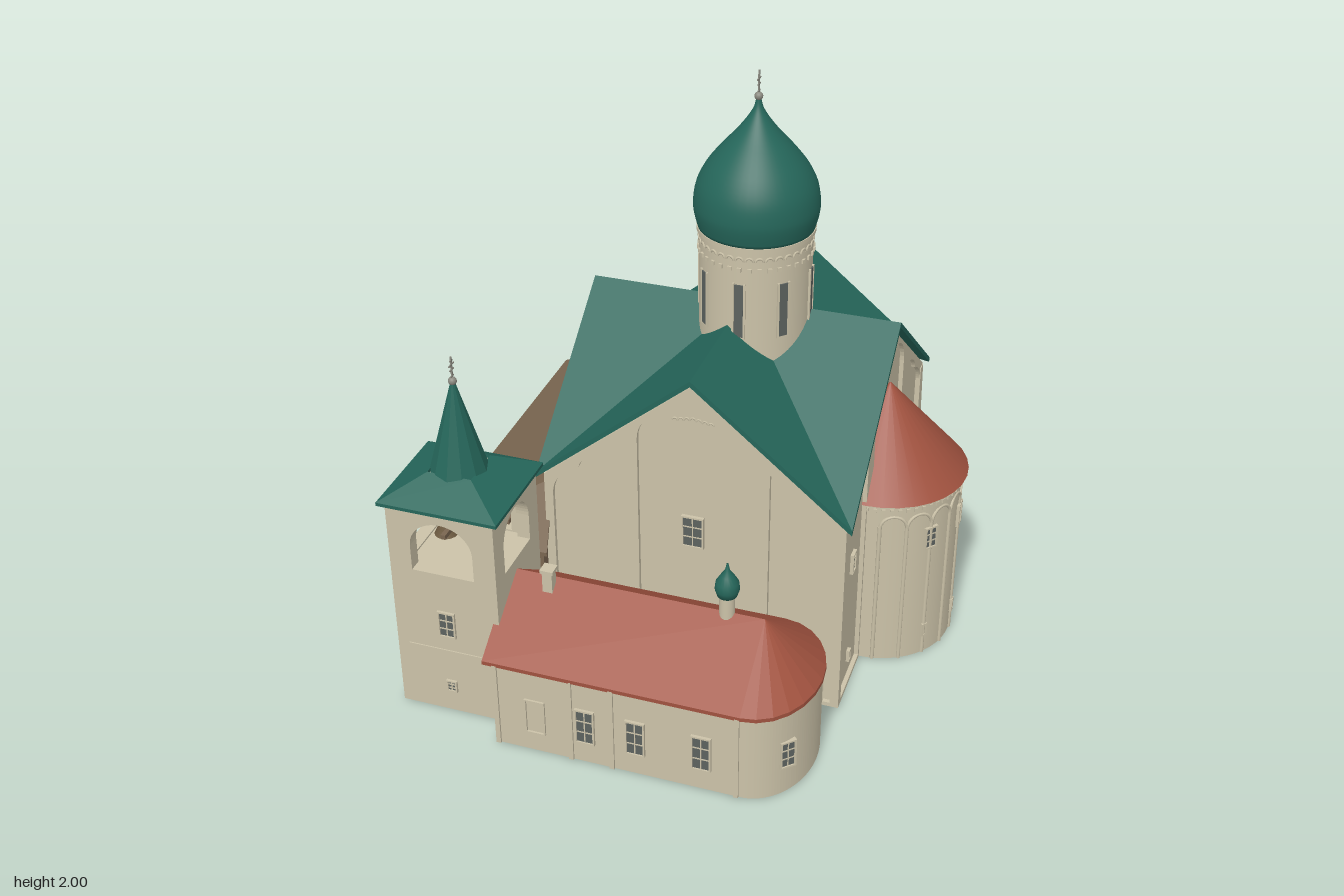
import * as THREE from 'three';

const mat = (name, color, side = THREE.FrontSide) => {
  const m = new THREE.MeshStandardMaterial({ color, side });
  m.name = name;
  return m;
};
const plaster = mat('plaster', 0xcbc2a8);
const green = mat('greenRoof', 0x25665a, THREE.DoubleSide);
const red = mat('redRoof', 0xa0523f, THREE.DoubleSide);
const wood = mat('wood', 0x7a6650, THREE.DoubleSide);
const glass = mat('windowGlass', 0x5c625f);
const metal = mat('metal', 0x8b8a80);
const bronze = mat('bronze', 0x6f5c42, THREE.DoubleSide);
const door = mat('doorWood', 0x6a4936);
const D = Math.PI / 180;

function add(parent, name, geo, m, x = 0, y = 0, z = 0, ry = 0) {
  const mesh = new THREE.Mesh(geo, m);
  mesh.name = name;
  mesh.position.set(x, y, z);
  mesh.rotation.y = ry;
  parent.add(mesh);
  return mesh;
}
function group(parent, name, x = 0, y = 0, z = 0, ry = 0) {
  const g = new THREE.Group();
  g.name = name;
  g.position.set(x, y, z);
  g.rotation.y = ry;
  parent.add(g);
  return g;
}
const box = (p, name, m, w, h, d, x, y, z) => add(p, name, new THREE.BoxGeometry(w, h, d), m, x, y, z);
const cyl = (p, name, m, rt, rb, h, n, x, y, z) => add(p, name, new THREE.CylinderGeometry(rt, rb, h, n), m, x, y, z);
const lathe = (pts, n) => new THREE.LatheGeometry(pts.map(q => new THREE.Vector2(...q)), n);
const shapeOf = pts => new THREE.Shape(pts.map(q => new THREE.Vector2(...q)));
const extrude = (shape, depth, curveSegments = 12) =>
  new THREE.ExtrudeGeometry(shape, { depth, bevelEnabled: false, curveSegments });

// Sloping roof panel: convex outline in x, y, z thickened downwards
function slab(parent, name, m, outline, t = 0.014) {
  let area = 0;
  outline.forEach((a, i) => {
    const b = outline[(i + 1) % outline.length];
    area += a[2] * b[0] - a[0] * b[2];
  });
  const top = area > 0 ? outline : [...outline].reverse();
  const low = top.map(([x, y, z]) => [x, y - t, z]);
  const v = [];
  top.forEach((a, i) => {
    const j = (i + 1) % top.length;
    if (i > 0 && j > 0) v.push(...top[0], ...a, ...top[j], ...low[0], ...low[j], ...low[i]);
    v.push(...a, ...low[i], ...low[j], ...a, ...low[j], ...top[j]);
  });
  const g = new THREE.BufferGeometry();
  g.setAttribute('position', new THREE.Float32BufferAttribute(v, 3));
  g.computeVertexNormals();
  return add(parent, name, g, m);
}
// Repeats a part around a vertical axis, facing outwards
function ring(parent, name, m, geo, [cx, y, cz], r, n, start, step) {
  const g = group(parent, name, cx, y, cz);
  for (let i = 0; i < n; i++) {
    const a = start + i * step;
    add(g, name + 'Piece', geo, m, r * Math.sin(a), 0, r * Math.cos(a), a);
  }
}
// Glazed window with frame and glazing bars
function win(parent, x, y, z, w, h, ry = 0, bars = true) {
  const g = group(parent, 'window', x, y, z, ry), f = 0.006;
  box(g, 'pane', glass, w, h, 0.008, 0, 0, 0);
  for (const s of [-1, 1]) {
    box(g, 'jamb', plaster, f, h + f, 0.018, s * w / 2, 0, 0);
    box(g, 'sill', plaster, w + f, f, 0.018, 0, s * h / 2, 0);
    if (bars) box(g, 'glazingBar', plaster, w, 0.004, 0.012, 0, s * h / 6, 0);
  }
  if (bars) box(g, 'mullion', plaster, 0.004, h, 0.012, 0, 0, 0);
}
function cross(parent, x, y, z) {
  const g = group(parent, 'roofCross', x, y, z);
  add(g, 'ball', new THREE.SphereGeometry(0.014, 16, 12), metal, 0, 0, 0);
  box(g, 'stem', metal, 0.005, 0.084, 0.005, 0, 0.044, 0);
  [[0.018, 0.02], [0.04, 0.026], [0.058, 0.036], [0.072, 0.018]].forEach(([h, w]) =>
    box(g, 'crossBar', metal, 0.004, 0.004, w, 0, h, 0));
}

// Raised gable layer with three arched recesses
function facade(parent, name, x, z, ry, half) {
  const g = group(parent, name, x, 0, z, ry), k = half / 0.515;
  const s = shapeOf([[-half, 0], [half, 0], [half, 0.727], [0, 1.155], [-half, 0.727]]);
  const c = new THREE.Path();
  c.moveTo(-0.185 * k, 0.015).lineTo(0.185 * k, 0.015).lineTo(0.185 * k, 0.93);
  c.absellipse(0, 0.93, 0.185 * k, 0.14, 0, Math.PI, false, 0);
  s.holes.push(c);
  for (const m of [-k, k]) {
    const p = new THREE.Path();
    p.moveTo(0.26 * m, 0.015).lineTo(0.485 * m, 0.015).lineTo(0.485 * m, 0.66);
    p.quadraticCurveTo(0.48 * m, 0.74, 0.39 * m, 0.78).quadraticCurveTo(0.375 * m, 0.84, 0.26 * m, 0.88);
    s.holes.push(p);
  }
  add(g, 'archedLayer', extrude(s, 0.016), plaster);
  for (let i = -3; i <= 3; i++)
    add(g, 'archletTrim', new THREE.TorusGeometry(0.009, 0.003, 5, 8, Math.PI), plaster, i * 0.02, 1.025 - Math.abs(i) * 0.003, 0.001);
  return g;
}

function mainChurch(root) {
  const g = group(root, 'mainChurch'), cx = 0.085, cz = -0.2175, hx = 0.515, hz = 0.5575;
  // Crossing gabled cores
  for (const [w, d, ry] of [[hx - 0.015, hz - 0.015, 0], [hz - 0.015, hx - 0.015, Math.PI / 2]]) {
    const core = extrude(shapeOf([[-w, 0], [w, 0], [w, 0.727], [0, 1.15], [-w, 0.727]]), 2 * d);
    core.translate(0, 0, -d);
    add(g, 'wallCore', core, plaster, cx, 0, cz, ry);
  }
  const front = facade(g, 'frontFacade', cx, cz + hz - 0.016, 0, hx);
  const back = facade(g, 'backFacade', cx, cz - hz + 0.016, Math.PI, hx);
  const east = facade(g, 'leftFacade', cx + hx - 0.016, cz, Math.PI / 2, hz);
  facade(g, 'rightFacade', cx - hx + 0.016, cz, -Math.PI / 2, hz);
  win(front, 0, 0.6, 0.004, 0.07, 0.115);
  win(back, 0, 0.6, 0.004, 0.07, 0.115);
  for (const s of [-1, 1]) {
    win(east, s * 0.395, 0.49, 0.004, 0.035, 0.07);
    win(east, s * 0.395, 0.1, 0.004, 0.015, 0.04, 0, false);
  }
  // Eight roof panels meeting in diagonal valleys
  for (const sx of [-1, 1]) for (const sz of [-1, 1]) {
    const C = [cx, 1.185, -0.22], K = [cx + sx * 0.536, 0.74, -0.22 + sz * 0.577];
    slab(g, 'mainRoofPanel', green, [C, [K[0], 1.185, -0.22], K], 0.02);
    slab(g, 'mainRoofPanel', green, [C, [cx, 1.185, K[2]], K], 0.02);
  }
  // Sloping corner buttress
  add(g, 'buttress', extrude(shapeOf([[0.74, 0], [0.845, 0], [0.777, 0.72], [0.74, 0.72]]), 0.055), plaster, 0.548, 0, 0, Math.PI / 2);

  // Drum and onion dome
  const dx = 0.125, dz = -0.21, R = 0.188;
  cyl(g, 'drum', plaster, R, R, 0.54, 48, dx, 1.21, dz);
  cyl(g, 'drumCornice', plaster, R + 0.008, R + 0.008, 0.014, 48, dx, 1.468, dz);
  ring(g, 'drumWindow', glass, new THREE.BoxGeometry(0.03, 0.19, 0.008), [dx, 1.245, dz], R, 8, 0, 45 * D);
  for (const s of [-1, 1])
    ring(g, 'drumWindowJamb', plaster, new THREE.BoxGeometry(0.007, 0.2, 0.014), [dx, 1.245, dz], R, 8, s * 0.1, 45 * D);
  ring(g, 'drumArchlet', plaster, new THREE.TorusGeometry(0.013, 0.004, 5, 8, Math.PI), [dx, 1.425, dz], R, 36, 0, 10 * D);
  ring(g, 'drumDentil', plaster, new THREE.BoxGeometry(0.014, 0.014, 0.012), [dx, 1.395, dz], R, 36, 0, 10 * D);
  const onion = new THREE.SplineCurve([[0.193, 1.475], [0.204, 1.52], [0.207, 1.56], [0.197, 1.62], [0.168, 1.68],
    [0.122, 1.74], [0.073, 1.795], [0.035, 1.845], [0.015, 1.88], [0.008, 1.91]].map(q => new THREE.Vector2(...q)));
  add(g, 'onionDome', new THREE.LatheGeometry([new THREE.Vector2(0, 1.475), ...onion.getPoints(30)], 48), green, dx, 0, dz);
  cross(g, dx, 1.915, dz);

  // Round apse with slim columns and blind arches
  const ax = 0.6, az = -0.21, r = 0.262;
  cyl(g, 'apseWall', plaster, r, r, 0.65, 48, ax, 0.325, az);
  cyl(g, 'apseCornice', plaster, r + 0.009, r + 0.009, 0.015, 48, ax, 0.64, az);
  cyl(g, 'apseRoof', red, 0.002, 0.282, 0.315, 32, ax, 0.803, az);
  ring(g, 'apseColumn', plaster, new THREE.CylinderGeometry(0.007, 0.007, 0.555, 8), [ax, 0.278, az], r, 9, 10 * D, 20 * D);
  ring(g, 'apseArch', plaster, new THREE.TorusGeometry(0.045, 0.006, 6, 12, Math.PI), [ax, 0.55, az], r - 0.002, 8, 20 * D, 20 * D);
  ring(g, 'apseDentil', plaster, new THREE.BoxGeometry(0.012, 0.014, 0.012), [ax, 0.62, az], r, 31, 0, 6 * D);
  for (const a of [50, 90, 130]) {
    const s = Math.sin(a * D), c = Math.cos(a * D);
    win(g, ax + r * s, 0.49, az + r * c, 0.045, 0.08, a * D);
    win(g, ax + r * s, 0.1, az + r * c, 0.016, 0.045, a * D, false);
  }
}

function chapel(root) {
  const g = group(root, 'sideChapel'), z0 = 0.595, ex = 0.41;
  const plan = new THREE.Shape();
  plan.moveTo(-0.42, -0.25).lineTo(ex, -0.25);
  plan.absellipse(ex, 0, 0.185, 0.25, -Math.PI / 2, Math.PI / 2, false, 0);
  plan.lineTo(-0.42, 0.25);
  const walls = extrude(plan, 0.33, 32);
  walls.rotateX(-Math.PI / 2);
  add(g, 'chapelWalls', walls, plaster, 0, 0, z0);
  add(g, 'chapelGable', extrude(shapeOf([[-0.245, 0.31], [0.245, 0.31], [0, 0.495]]), 0.82), plaster, -0.42, 0, z0, Math.PI / 2);
  for (const s of [-1, 1])
    slab(g, 'chapelRoof', red, [[-0.45, 0.515, z0 - 0.005], [ex, 0.515, z0 - 0.005], [ex, 0.33, z0 + s * 0.257], [-0.45, 0.33, z0 + s * 0.257]]);
  const rim = i => [ex + 0.195 * Math.sin(i * 15 * D), 0.33, z0 + 0.257 * Math.cos(i * 15 * D)];
  for (let i = 0; i < 12; i++) slab(g, 'chapelRoundRoof', red, [[ex, 0.515, z0 - 0.005], rim(i), rim(i + 1)]);
  for (const x of [-0.105, 0.065, 0.285]) win(g, x, 0.148, 0.846, 0.06, 0.13);
  for (const s of [-1, 1]) win(g, ex + 0.133, 0.155, z0 + s * 0.174, 0.05, 0.1, s > 0 ? 44 * D : 136 * D);
  for (const s of [-1, 1]) {
    box(g, 'nicheJamb', plaster, 0.006, 0.135, 0.012, -0.277 + s * 0.032, 0.14, 0.846);
    box(g, 'nicheRail', plaster, 0.064, 0.006, 0.012, -0.277, 0.14 + s * 0.065, 0.846);
  }
  for (const x of [-0.41, -0.155, -0.015, 0.4]) box(g, 'chapelPilaster', plaster, 0.016, 0.32, 0.012, x, 0.16, 0.846);
  // Chimney and small cupola
  box(g, 'chimney', plaster, 0.034, 0.1, 0.034, -0.305, 0.515, 0.62);
  box(g, 'chimneyCap', plaster, 0.045, 0.012, 0.045, -0.305, 0.562, 0.62);
  cyl(g, 'cupolaDrum', plaster, 0.025, 0.025, 0.1, 20, 0.285, 0.535, 0.588);
  add(g, 'cupola', lathe([[0, 0.58], [0.032, 0.58], [0.04, 0.605], [0.037, 0.63], [0.022, 0.655], [0.008, 0.675], [0.003, 0.7]], 20), green, 0.285, 0, 0.588);
}

function bellTower(root) {
  const g = group(root, 'bellTower', -0.615, 0, 0.5775), hx = 0.185, hz = 0.1725;
  box(g, 'towerBase', plaster, 2 * hx, 0.55, 2 * hz, 0, 0.275, 0);
  // Belfry walls with open arches
  for (let i = 0; i < 4; i++) {
    const [h, d] = i % 2 ? [hz, hx] : [hx, hz], a = h * 0.585, ry = i * Math.PI / 2;
    const s = shapeOf([[-h, 0.54], [h, 0.54], [h, 0.8], [-h, 0.8]]), p = new THREE.Path();
    p.moveTo(-a, 0.556).lineTo(a, 0.556).lineTo(a, 0.65).absellipse(0, 0.65, a, 0.1, 0, Math.PI, false, 0);
    s.holes.push(p);
    add(g, 'belfryWall', extrude(s, 0.045), plaster, (d - 0.045) * Math.sin(ry), 0, (d - 0.045) * Math.cos(ry), ry);
  }
  box(g, 'belfryCeiling', plaster, 2 * hx + 0.012, 0.015, 2 * hz + 0.012, 0, 0.793, 0);
  // Bells hanging from cross beams
  box(g, 'bellBeam', wood, 0.33, 0.016, 0.016, 0, 0.69, 0);
  box(g, 'bellBeam', wood, 0.016, 0.016, 0.3, 0, 0.69, 0);
  [[-0.065, 1.25], [0.005, 0.85], [0.05, 0.6], [0.085, 0.5]].forEach(([x, k]) => {
    const bell = add(g, 'bell', lathe([[0.032, -0.075], [0.022, -0.055], [0.017, -0.025], [0.01, -0.012], [0, -0.01]], 16), bronze, x, 0.688, 0);
    bell.scale.setScalar(k);
  });
  // Flared square eaves and spire
  const K = [[1, 1], [1, -1], [-1, -1], [-1, 1]];
  K.forEach(([x, z], i) => {
    const [u, v] = K[(i + 1) % 4];
    slab(g, 'towerEaves', green, [[x * 0.206, 0.805, z * 0.19], [u * 0.206, 0.805, v * 0.19], [u * 0.075, 0.877, v * 0.075], [x * 0.075, 0.877, z * 0.075]], 0.012);
  });
  const spire = new THREE.CylinderGeometry(0.008, 0.095, 0.31, 12).toNonIndexed();
  spire.computeVertexNormals();
  add(g, 'spire', spire, green, 0, 1.02, 0);
  cross(g, 0, 1.182, 0);
  // Tower openings
  win(g, 0, 0.36, hz, 0.055, 0.095);
  win(g, 0, 0.105, hz, 0.032, 0.04);
  win(g, -hx, 0.36, 0, 0.055, 0.095, -Math.PI / 2);
  const arch = new THREE.Shape();
  arch.moveTo(-0.04, 0.01).lineTo(0.04, 0.01).lineTo(0.04, 0.13).absarc(0, 0.13, 0.04, 0, Math.PI, false);
  add(g, 'towerDoor', extrude(arch, 0.006), door, -hx, 0, 0, -Math.PI / 2);
  box(g, 'stringCourse', plaster, 0.29, 0.006, 0.008, 0, 0.25, hz);
}

function woodenAnnex(root) {
  const g = group(root, 'woodenAnnex');
  box(g, 'annexWalls', wood, 0.37, 0.45, 1.175, -0.615, 0.225, -0.2125);
  const a = [-0.835, 0.445, -0.83], b = [-0.835, 0.445, 0.395], c = [-0.43, 0.665, 0.27], d = [-0.43, 0.665, -0.7];
  slab(g, 'annexRoof', wood, [a, b, c, d]);
  slab(g, 'annexRoofEnd', wood, [b, [-0.41, 0.445, 0.395], c]);
  slab(g, 'annexRoofEnd', wood, [a, [-0.41, 0.445, -0.83], d]);
  for (const z of [-0.62, -0.31, 0.02]) win(g, -0.801, 0.36, z, 0.05, 0.06, -Math.PI / 2);
  box(g, 'annexDoor', glass, 0.008, 0.14, 0.06, -0.801, 0.085, -0.31);
  // Porch on two posts
  box(g, 'porchStep', plaster, 0.085, 0.012, 0.17, -0.843, 0.006, 0.25);
  box(g, 'porchDoor', door, 0.008, 0.16, 0.07, -0.801, 0.09, 0.25);
  for (const s of [-1, 1]) {
    box(g, 'porchPost', wood, 0.012, 0.2, 0.012, -0.845, 0.105, 0.25 + s * 0.065);
    slab(g, 'porchRoof', wood, [[-0.885, 0.265, 0.25], [-0.79, 0.265, 0.25], [-0.79, 0.212, 0.25 + s * 0.09], [-0.885, 0.212, 0.25 + s * 0.09]], 0.012);
    // Small red canopy on the wall above
    slab(g, 'wallCanopy', red, [[-0.475, 0.79, -0.22], [-0.42, 0.79, -0.22], [-0.42, 0.67, -0.22 + s * 0.14], [-0.475, 0.67, -0.22 + s * 0.14]]);
  }
}

export function createModel() {
  const root = new THREE.Group();
  root.name = 'church';
  mainChurch(root);
  chapel(root);
  bellTower(root);
  woodenAnnex(root);
  return root;
}
